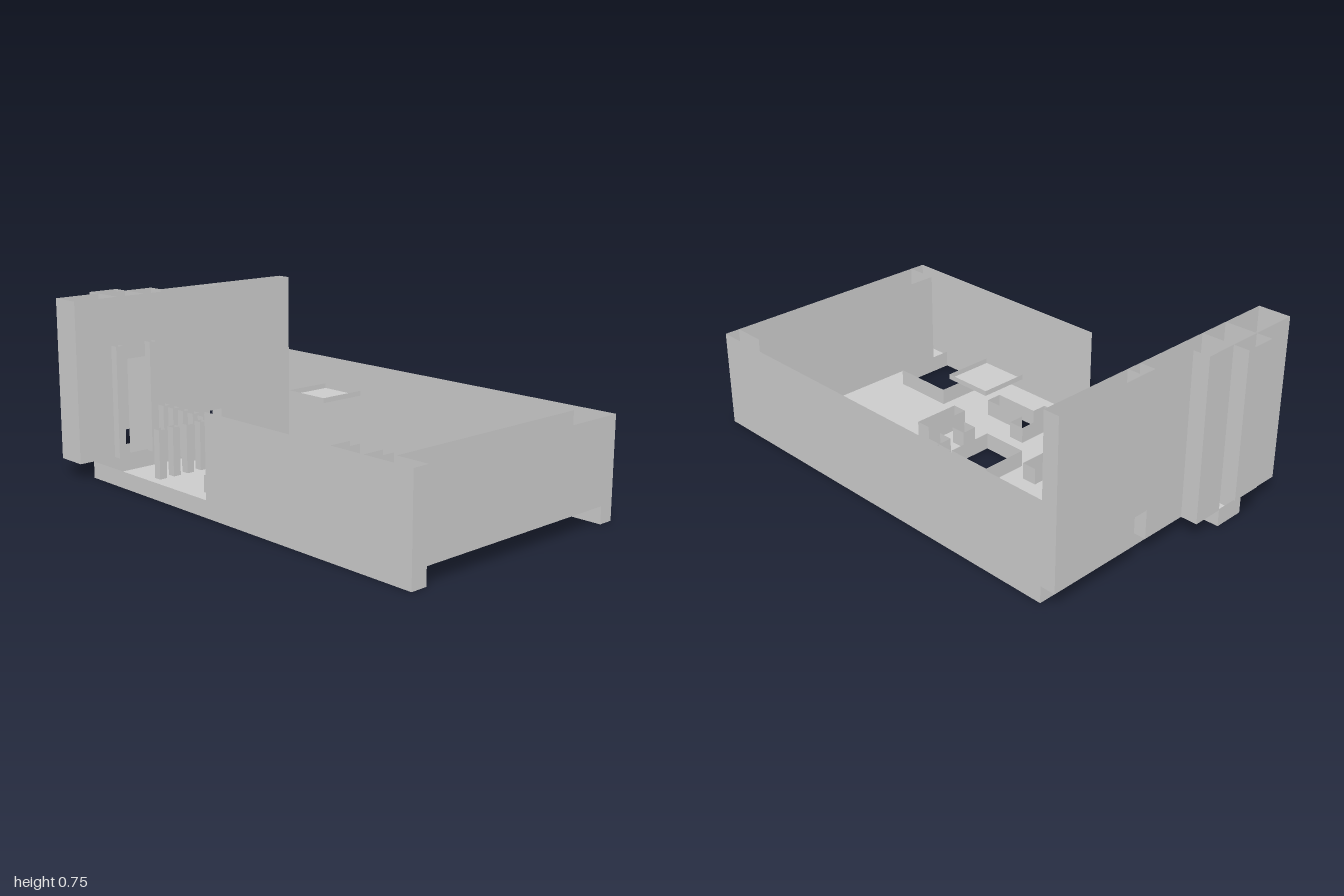
import * as THREE from 'three';
import { mergeGeometries } from 'three/addons/utils/BufferGeometryUtils.js';

const material = new THREE.MeshStandardMaterial({ color: 0xcccccc, side: THREE.DoubleSide });

// Rectangle outline in plan, as [x, z] corners
const rect = (x0, x1, z0, z1) => [[x0, z0], [x1, z0], [x1, z1], [x0, z1]];

// Thin upright walls following a plan path
function walls(path, y0, y1, closed = true) {
  const pos = [];
  const n = closed ? path.length : path.length - 1;
  for (let i = 0; i < n; i++) {
    const [ax, az] = path[i];
    const [bx, bz] = path[(i + 1) % path.length];
    pos.push(ax, y0, az, ax, y1, az, bx, y1, bz, ax, y0, az, bx, y1, bz, bx, y0, bz);
  }
  const g = new THREE.BufferGeometry();
  g.setAttribute('position', new THREE.Float32BufferAttribute(pos, 3));
  g.computeVertexNormals();
  return g;
}

// Horizontal sheet with openings, seen from below
function sheet(outline, y, holes = []) {
  const toVectors = (pts) => pts.map(([x, z]) => new THREE.Vector2(x, z));
  const shape = new THREE.Shape(toVectors(outline));
  shape.holes = holes.map((h) => new THREE.Path(toVectors(h)));
  const g = new THREE.ShapeGeometry(shape).rotateX(Math.PI / 2).translate(0, y, 0).toNonIndexed();
  g.deleteAttribute('uv');
  return g;
}

// Box without a lid
const openBox = (outline, y0, y1) => [walls(outline, y0, y1), sheet(outline, y0)];

export function createModel() {
  const group = new THREE.Group();
  const add = (name, geometries) => {
    const mesh = new THREE.Mesh(mergeGeometries(geometries), material);
    mesh.name = name;
    group.add(mesh);
  };

  const floorTop = 0.07, rim = 0.41, tall = 0.745;
  const back = -0.575, front = 0.51, inner = -0.8;

  // Openings in the floor
  const holes = [
    rect(-0.6, -0.46, -0.375, -0.305),
    rect(-0.325, -0.26, -0.51, -0.24),
    rect(0.215, 0.42, -0.44, -0.24),
    rect(0.49, 0.76, -0.51, -0.24),
    rect(0.49, 0.76, 0.165, 0.435),
    rect(0.152, 0.215, -0.168, -0.105),
    rect(0.15, 0.215, -0.035, 0.03),
    rect(0.285, 0.35, -0.105, 0.1),
    rect(-0.255, -0.19, -0.035, 0.1),
    rect(-0.12, 0.078, -0.168, 0.03),
    [[-0.12, -0.51], [-0.055, -0.51], [-0.055, -0.375], [0.15, -0.375],
      [0.15, -0.17], [0.08, -0.17], [0.08, -0.305], [-0.12, -0.305]],
    [[-0.53, -0.24], [-0.46, -0.24], [-0.46, -0.035], [-0.32, -0.035], [-0.32, 0.03], [-0.53, 0.03]],
    [[-0.325, 0.165], [-0.12, 0.165], [-0.12, 0.235], [-0.26, 0.235], [-0.26, 0.305], [-0.325, 0.305]],
    [[0.01, 0.165], [0.08, 0.165], [0.08, 0.235], [0.285, 0.235],
      [0.285, 0.305], [0.08, 0.305], [0.08, 0.37], [0.01, 0.37]],
  ];

  // Floor with a cut-out along the +x end
  const slot = [[1, -0.51], [0.86, -0.51], [0.86, 0.44], [1, 0.44]];
  add('floor', [sheet([[inner, back], [1, back], ...slot, [1, front], [inner, front]], 0, holes)]);
  add('floorOpenings', holes.map((h) => walls(h, 0, floorTop)));

  // Outer walls, low along the front-right stretch
  add('outerWalls', [
    walls([[inner, back], [1, back], [1, -0.51]], 0, rim, false),
    walls([[1, -0.51], [1, 0.44]], floorTop, rim, false),
    walls([[1, 0.44], [1, front], [-0.05, front]], 0, rim, false),
    walls([[-0.05, front], [inner, front], [inner, back]], 0, floorTop, false),
  ]);
  add('endBlock', [walls(slot, 0, rim, false), sheet(slot, floorTop)]);

  // Raised tray above the square opening
  add('raisedTray', openBox(rect(-0.12, 0.08, -0.17, 0.03), 0.39, rim));

  // Tall end wall: hollow sections either side of a vent and a doorway
  const doorStart = 0.235, doorEnd = 0.37;
  add('tallWall', [
    ...openBox(rect(-0.865, inner, back, -0.17), floorTop, tall),
    ...openBox(rect(-0.865, inner, -0.17, -0.105), 0.19, tall),
    ...openBox([[-0.865, -0.105], [inner, -0.105], [inner, doorStart],
      [-0.935, doorStart], [-0.935, 0.1], [-0.865, 0.1]], floorTop, tall),
    ...openBox(rect(-0.935, inner, doorEnd, 0.575), floorTop, tall),
  ]);
  add('doorLintel', openBox(rect(-0.935, inner, doorStart, doorEnd), 0.48, tall));
  add('doorBackShaft', openBox(rect(-1, -0.935, doorStart, doorEnd), 0.14, tall));
  add('doorStep', openBox(rect(-0.935, inner, doorStart, doorEnd), 0, 0.075));

  // Door posts
  for (const z of [0.22, 0.388]) {
    add('doorPost', [walls(rect(inner, -0.765, z - 0.017, z + 0.017), floorTop, 0.545)]);
  }

  // Rows of railing posts meeting at a corner
  const post = (x, z) =>
    add('railingPost', [walls(rect(x - 0.017, x + 0.017, z - 0.017, z + 0.017), floorTop, 0.27)]);
  for (let i = 0; i < 6; i++) post(-0.747 + i * 0.0675, 0.183);
  for (let i = 1; i < 5; i++) post(-0.41, 0.183 + i * 0.0675);

  return group;
}
